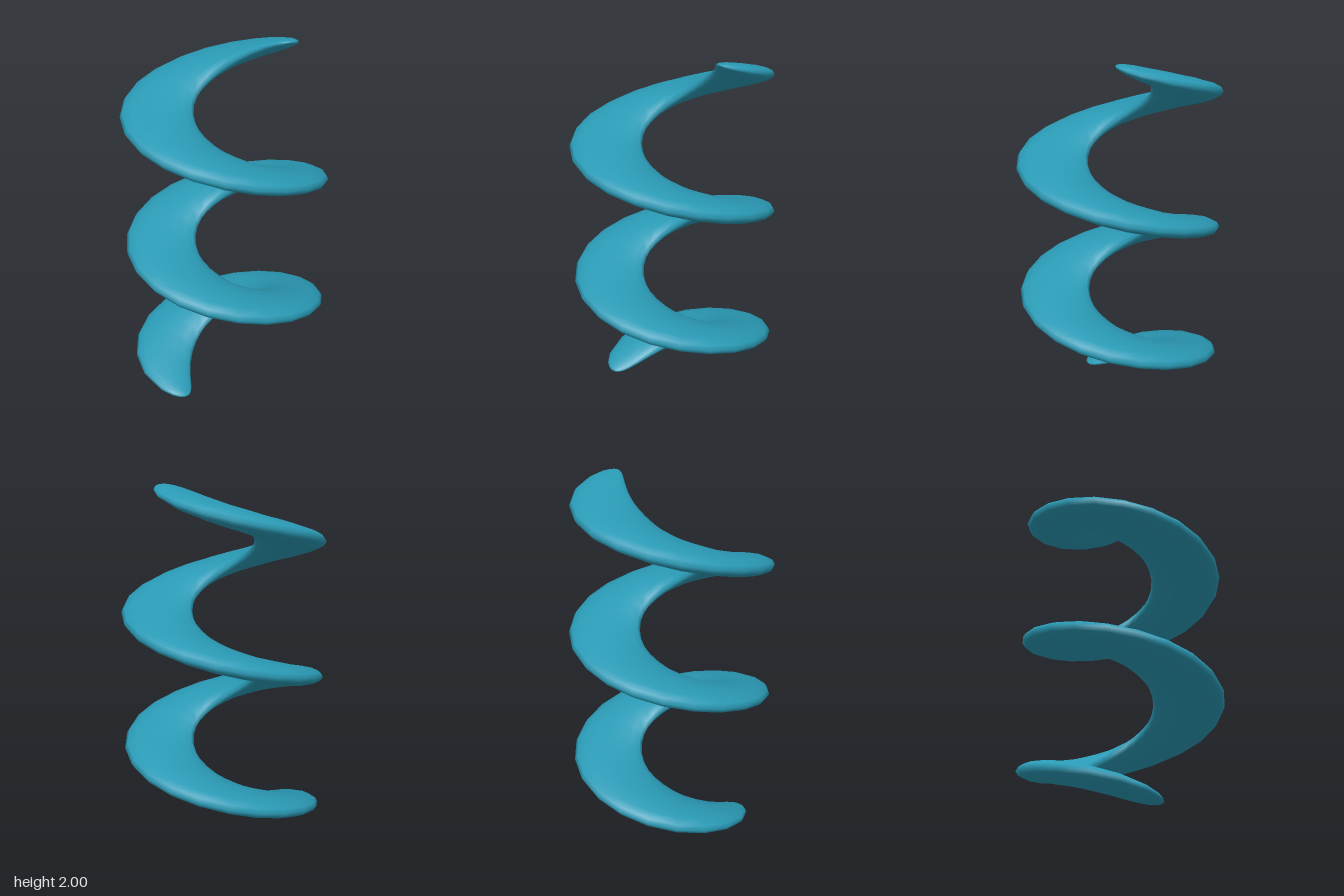
import * as THREE from 'three';

const RAD = Math.PI / 180;
const START = -183, END = 752;      // sweep angle in degrees, from +x towards +z
const RADIUS = 0.37, PITCH = 0.765; // centre line of the helix
const HALF_WIDTH = 0.198, HALF_HEIGHT = 0.064;
const TAPER = 105;                  // degrees over which each end rounds off
const SIDES = 16, STEPS = 56;

// Section scale: full along the coil, elliptical towards either tip
function taper(angle) {
  const d = Math.min(angle - START, END - angle, TAPER);
  const t = 1 - Math.max(d, 0) / TAPER;
  return Math.sqrt(Math.max(0, 1 - t * t));
}

// Flattened elliptical section swept along a helix
function coilGeometry() {
  const angles = [];
  for (let i = 0; i <= STEPS; i++) angles.push(START + (END - START) * i / STEPS);
  // extra rings to round the tips
  for (const d of [1, 3.5, 8]) angles.push(START + d, END - d);
  angles.sort((a, b) => a - b);

  const positions = [], indices = [];
  angles.forEach((angle, i) => {
    const a = angle * RAD, s = taper(angle);
    const y = 0.395 + PITCH * angle / 360;
    for (let j = 0; j < SIDES; j++) {
      const p = j / SIDES * Math.PI * 2;
      const r = RADIUS + HALF_WIDTH * s * Math.cos(p);
      positions.push(r * Math.cos(a), y + HALF_HEIGHT * s * Math.sin(p), r * Math.sin(a));
      if (i === angles.length - 1) continue;
      const k = (j + 1) % SIDES;
      const a0 = i * SIDES + j, a1 = i * SIDES + k;
      const b0 = a0 + SIDES, b1 = a1 + SIDES;
      indices.push(a0, a1, b0, a1, b1, b0);
    }
  });
  const geometry = new THREE.BufferGeometry();
  geometry.setAttribute('position', new THREE.Float32BufferAttribute(positions, 3));
  geometry.setIndex(indices);
  geometry.computeVertexNormals();
  return geometry;
}

export function createModel() {
  const group = new THREE.Group();
  group.name = 'spiral';
  const coil = new THREE.Mesh(coilGeometry(), new THREE.MeshStandardMaterial({ color: 0x2a9ab5 }));
  coil.name = 'coil';
  group.add(coil);
  return group;
}
